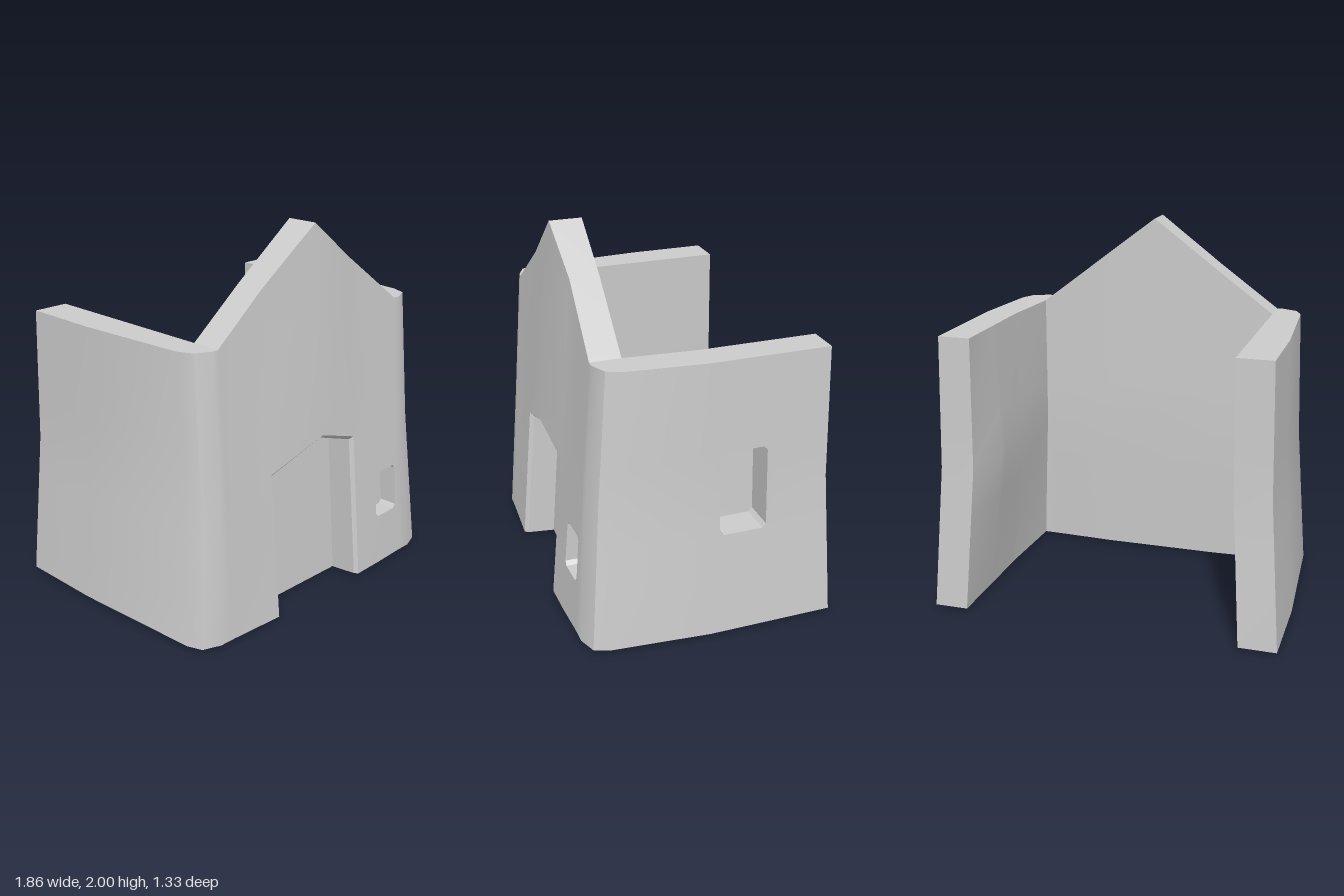
import * as THREE from 'three';
import { toCreasedNormals } from 'three/addons/utils/BufferGeometryUtils.js';

const V = (x, y, z) => new THREE.Vector3(x, y, z);
const lerp = THREE.MathUtils.lerp;
const BASE = 0.015, WALL = 1.5;
const DOOR_L = -0.36, DOOR_R = 0.285;
const DOOR_FOOT_Z = 0.49, DOOR_HEAD_Z = 0.43;

// piecewise linear lookup in [position, value] pairs
function curve(pts, t) {
  if (t <= pts[0][0]) return pts[0][1];
  for (let i = 1; i < pts.length; i++) {
    const [a, va] = pts[i - 1], [b, vb] = pts[i];
    if (t <= b) return lerp(va, vb, (t - a) / (b - a));
  }
  return pts[pts.length - 1][1];
}

// outward lean of the walls, 1 at the base and 0 at the top
const batter = (y) => curve([[BASE, 1], [0.8, 0.2], [WALL, 0]], y);
const bulge = (x) => curve([[DOOR_L, 0], [0, 1], [DOOR_R, 0]], x);
const doorTop = (x) => curve([[DOOR_L, 0.79], [0, 0.91], [DOOR_R, 0.815], [0.46, 0.8]], x);
const gableTop = (x) => curve([[-0.67, WALL], [0, 2], [0.66, WALL]], x);
const backZ = (y) => -0.62 - 0.05 * batter(y);
const frontZ = (x, y) => 0.655 - 0.077 * y + 0.035 * bulge(x)
  + batter(y) * curve([[0.37, 0.01], [0.7, -0.008]], Math.abs(x));
const cornerZ = (y) => 0.531 - 0.074 * y;
const innerFrontZ = (y) => 0.38 + 0.05 * batter(y);

function sideX(s, y, z) {
  const b = batter(y);
  return s * curve([[s > 0 ? 0 : -0.2, 0.86 + 0.07 * b], [cornerZ(y), 0.82 + 0.065 * b]], z);
}

// the inner faces lean with the walls; the right one swells at mid height
function innerX(s, y, z) {
  if (s < 0) return -0.67 - batter(y) * curve([[-0.2, 0.06], [0.43, 0.05]], z);
  return curve([
    [BASE, curve([[-0.67, 0.75], [0, 0.74], [0.43, 0.715]], z)],
    [0.8, curve([[-0.63, 0.695], [-0.35, 0.65], [0.39, 0.668]], z)],
    [WALL, curve([[0, 0.69], [0.38, 0.66]], z)],
  ], y);
}

// skin of quads over rows of points: rows go up, points go right, seen from outside
function skin(rows, skip = () => false) {
  const out = [];
  for (let i = 0; i < rows.length - 1; i++) {
    for (let j = 0; j < rows[i].length - 1; j++) {
      if (skip(i, j)) continue;
      const a = rows[i][j], b = rows[i][j + 1], c = rows[i + 1][j + 1], d = rows[i + 1][j];
      for (const tri of [[a, b, c], [a, c, d]]) {
        const area = tri[1].clone().sub(tri[0]).cross(tri[2].clone().sub(tri[0])).length();
        if (area > 1e-7) out.push(...tri);
      }
    }
  }
  return out;
}

// plan columns, running left back, front, right back
function sideColumn(s, zAt, tag) {
  return {
    tag, rows: [BASE, 0.29, 0.57, 0.8, 1.02, WALL],
    out: (y) => V(sideX(s, y, zAt(y)), y, zAt(y)),
    inn: (y) => V(innerX(s, y, zAt(y)), y, zAt(y)),
  };
}

function cornerColumn(s, xTop, xBase, zAt) {
  return {
    rows: [BASE, 0.29, 0.55, 0.8, 1.02, WALL],
    out: (y) => V(s * lerp(xTop, xBase, batter(y)), y, zAt(y)),
    inn: (y) => V(innerX(s, y, innerFrontZ(y)), y, innerFrontZ(y)),
  };
}

function frontColumn(x, tag) {
  const hollow = 0.015 * curve([[-0.67, 0], [DOOR_L, 1], [DOOR_R, 1], [0.66, 0]], x);
  return {
    tag, x, rows: [BASE, 0.29, 0.55, doorTop(x), 1.02, gableTop(x)],
    out: (y) => V(x, y, frontZ(x, y)),
    inn: (y) => V(x, y, innerFrontZ(y) - hollow),
  };
}

const cornerColumns = (s) => [
  cornerColumn(s, 0.82, 0.885, cornerZ),
  cornerColumn(s, 0.785, 0.855, (y) => 0.611 - 0.074 * y),
  cornerColumn(s, 0.7, 0.76, (y) => frontZ(0.7, y)),
];

export function createModel() {
  const group = new THREE.Group();
  const material = new THREE.MeshStandardMaterial({ color: 0xcccccc });
  const add = (name, points) => {
    const geometry = toCreasedNormals(new THREE.BufferGeometry().setFromPoints(points), 0.5);
    const mesh = new THREE.Mesh(geometry, material);
    mesh.name = name;
    group.add(mesh);
  };

  const columns = [
    sideColumn(-1, backZ), sideColumn(-1, () => -0.2), ...cornerColumns(-1),
    frontColumn(-0.67), frontColumn(DOOR_L, 'door'), frontColumn(0, 'door'),
    frontColumn(DOOR_R), frontColumn(0.46, 'frontWindow'), frontColumn(0.64), frontColumn(0.66),
    ...cornerColumns(1).reverse(),
    sideColumn(1, () => 0), sideColumn(1, () => -0.05, 'sideWindow'),
    sideColumn(1, () => -0.3), sideColumn(1, () => -0.35), sideColumn(1, backZ),
  ];
  const rowsOf = (face) => columns[0].rows.map((_, i) => columns.map((c) => c[face](c.rows[i])));
  const outer = rowsOf('out');
  const inner = rowsOf('inn');

  // walls, leaving the door and window openings free
  add('outerWalls', skin(outer, (i, j) => {
    const tag = columns[j].tag;
    return (tag === 'door' && i < 3) || (tag === 'frontWindow' && i === 1)
      || (tag === 'sideWindow' && (i === 2 || i === 3));
  }));
  add('innerWalls', skin(inner.map((row) => [...row].reverse())));
  add('wallTops', skin([outer[5], inner[5]]));

  // underside, stepped back at the doorway
  const base = [];
  for (let j = 0; j < columns.length - 1; j++) {
    const edge = [j, j + 1].map((k) => (columns[j].tag === 'door'
      ? V(columns[k].x, 0, DOOR_FOOT_Z) : outer[0][k]));
    base.push(...skin([[inner[0][j], inner[0][j + 1]], edge]));
  }
  add('wallBase', base);

  // rear ends of the two side walls
  const last = columns.length - 1;
  add('leftWallEnd', skin(outer.map((row, i) => [inner[i][0], row[0]])));
  add('rightWallEnd', skin(outer.map((row, i) => [row[last], inner[i][last]])));

  // door recess with a pointed head, a bevelled edge and a panel leaning back
  const doorPath = [[DOOR_R, BASE], [DOOR_R, doorTop(DOOR_R)], [0, doorTop(0)],
    [DOOR_L, doorTop(DOOR_L)], [DOOR_L, BASE]];
  const inset = doorPath.map(([x, y]) => [x - 0.015 * Math.sign(x), y === BASE ? y : y - 0.018]);
  const doorFront = doorPath.map(([x, y]) => V(x, y, frontZ(x, y)));
  const doorBevel = inset.map(([x, y], i) => V(x, y, doorFront[i].z - 0.02));
  const doorBack = inset.map(([x, y]) => (y === BASE
    ? V(x, 0, DOOR_FOOT_Z) : V(x, y, lerp(DOOR_FOOT_Z, DOOR_HEAD_Z, y / 0.8))));
  add('doorRecess', skin([doorFront, doorBevel, doorBack]));
  add('doorPanel', skin([doorBack, doorBack.map(() => V(-0.035, 0, DOOR_FOOT_Z))]));

  // window recess with clipped corners; u runs right as seen from outside
  function addWindow(name, u0, u1, v0, v1, place, sink) {
    const corners = [[u0, v0], [u1, v0], [u1, v1], [u0, v1]];
    const cut = 0.02, loop = [], fill = [];
    const toward = (a, b) => {
      const d = Math.hypot(b[0] - a[0], b[1] - a[1]);
      return place(lerp(a[0], b[0], cut / d), lerp(a[1], b[1], cut / d));
    };
    corners.forEach((c, i) => {
      const before = toward(c, corners[(i + 3) % 4]);
      const after = toward(c, corners[(i + 1) % 4]);
      loop.push(before, after);
      fill.push(place(...c), after, before);
    });
    loop.push(loop[0].clone());
    const back = loop.map((p) => p.clone().add(sink));
    const centre = back[0].clone().add(back[4]).multiplyScalar(0.5);
    add(name + 'Corners', fill);
    add(name + 'Recess', skin([loop, back]));
    add(name + 'Panel', skin([back, back.map(() => centre)]));
  }
  addWindow('frontWindow', 0.46, 0.64, 0.29, 0.55,
    (u, v) => V(u, v, frontZ(u, v)), V(0, 0, -0.1));
  addWindow('sideWindow', 0.05, 0.3, 0.57, 1.02,
    (u, v) => V(sideX(1, v, -u), v, -u), V(-0.17, 0, 0));

  return group;
}
